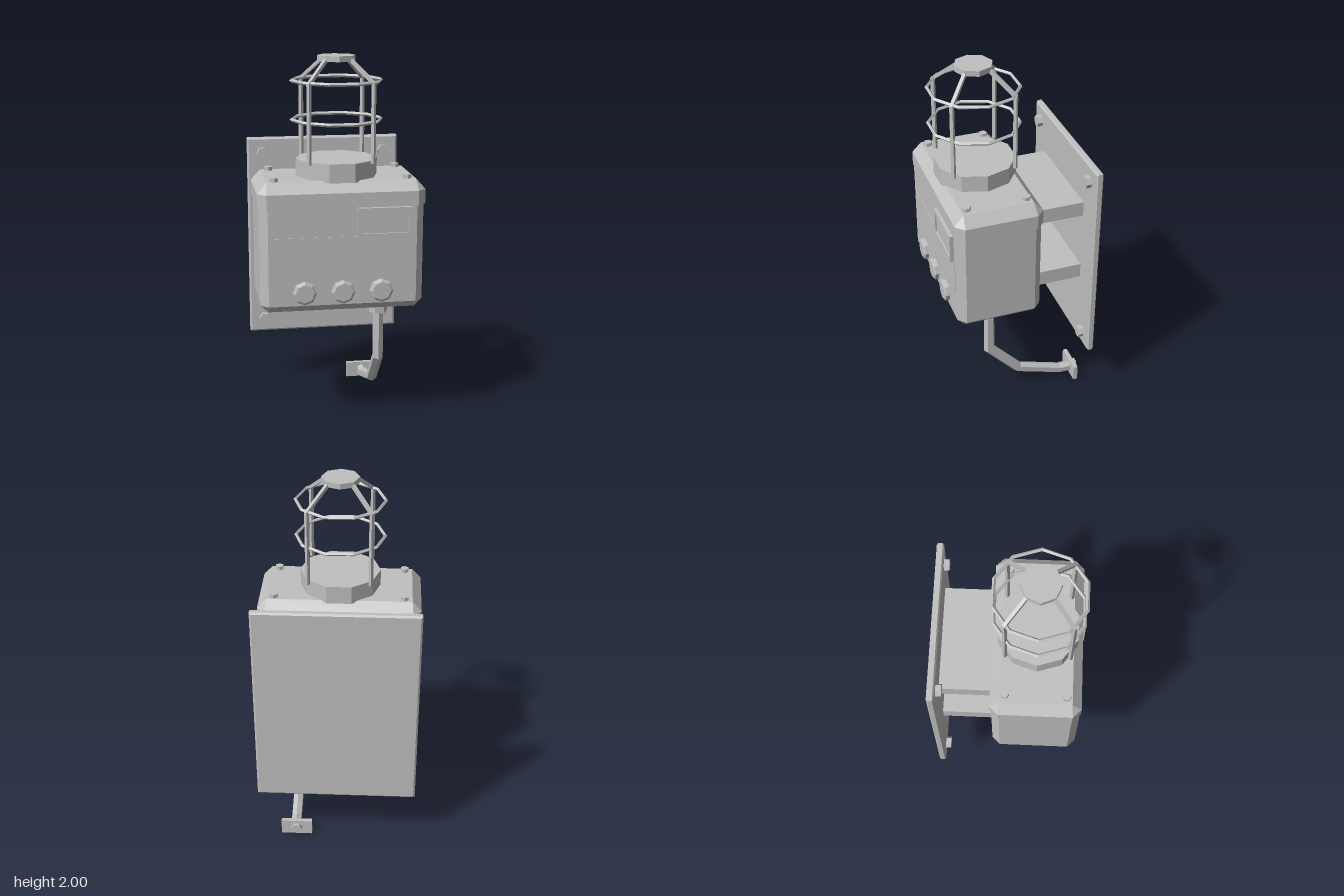
import * as THREE from 'three';

const grey = new THREE.MeshStandardMaterial({ color: 0xc0c0c0 });
grey.name = 'plain grey';

const V = (x, y, z) => new THREE.Vector3(x, y, z);

// Faceted normals for every part
function flat(geo) {
  const g = geo.index ? geo.toNonIndexed() : geo;
  g.computeVertexNormals();
  return g;
}

// Closed skin over a series of equal rings
function skin(rings) {
  const pos = [];
  const tri = (...pts) => pts.forEach(p => pos.push(p.x, p.y, p.z));
  const n = rings[0].length, last = rings[rings.length - 1];
  for (let k = 0; k < rings.length - 1; k++) {
    for (let i = 0; i < n; i++) {
      const j = (i + 1) % n, a = rings[k], b = rings[k + 1];
      tri(a[i], a[j], b[i]);
      tri(a[j], b[j], b[i]);
    }
  }
  for (let i = 1; i < n - 1; i++) {
    tri(rings[0][0], rings[0][i + 1], rings[0][i]);
    tri(last[0], last[i], last[i + 1]);
  }
  const g = new THREE.BufferGeometry();
  g.setAttribute('position', new THREE.Float32BufferAttribute(pos, 3));
  return flat(g);
}

// Stack of corner-cut rectangles: [y, half x, half z, corner cut]
function loft(levels) {
  return skin(levels.map(([y, x, z, c]) => [
    V(x - c, y, z), V(x, y, z - c), V(x, y, c - z), V(x - c, y, -z),
    V(c - x, y, -z), V(-x, y, c - z), V(-x, y, z - c), V(c - x, y, z),
  ]));
}

// Mitred bar along a path in the xy plane
function sweep(path, r, sides, turn = 0) {
  const pts = path.map(p => new THREE.Vector2(...p));
  return skin(pts.map((p, i) => {
    const d0 = pts[Math.max(i, 1)].clone().sub(pts[Math.max(i, 1) - 1]).normalize();
    const e = Math.min(i + 1, pts.length - 1);
    const d1 = pts[e].clone().sub(pts[e - 1]).normalize();
    const t = d0.clone().add(d1).normalize();
    const s = r / t.dot(d0);
    return Array.from({ length: sides }, (_, k) => {
      const a = turn + k / sides * Math.PI * 2, c = Math.cos(a) * s;
      return V(p.x - t.y * c, p.y + t.x * c, Math.sin(a) * r);
    });
  }));
}

// Prism with corners on the x axis, upright or facing the front
function prism(r, h, sides, facing = false, rTop = r) {
  const g = new THREE.CylinderGeometry(rTop, r, h, sides).rotateY(Math.PI / 2);
  if (facing) g.rotateX(Math.PI / 2);
  return flat(g);
}

export function createModel() {
  const model = new THREE.Group();
  model.name = 'beacon control box';
  const add = (name, geo, x = 0, y = 0, z = 0, parent = model) => {
    const m = new THREE.Mesh(geo, grey);
    m.name = name;
    m.position.set(x, y, z);
    parent.add(m);
    return m;
  };
  const box = (w, h, d) => new THREE.BoxGeometry(w, h, d);

  // Wall plate with bevelled edges, bolts and two spacer bars
  add('wallPlate', loft([
    [-0.41, 0.43, 0.576, 0.001], [-0.402, 0.44, 0.586, 0.004],
    [-0.378, 0.44, 0.586, 0.004], [-0.37, 0.43, 0.576, 0.001],
  ]).rotateX(Math.PI / 2), 0, 0.904, 0);
  for (const x of [-0.353, 0.353]) for (const y of [0.402, 1.404])
    add('plateBolt', prism(0.034, 0.04, 6, true), x, y, -0.36);
  for (const y of [0.785, 1.193])
    add('spacerBar', box(0.58, 0.084, 0.31), 0, y, -0.225);

  // Housing and lid
  add('housing', loft([
    [0.67, 0.395, 0.193, 0.001], [0.71, 0.436, 0.234, 0.042], [1.26, 0.436, 0.234, 0.042],
  ]), 0, 0, 0.147);
  add('lid', loft([
    [1.235, 0.445, 0.24, 0.045], [1.312, 0.445, 0.24, 0.045], [1.368, 0.395, 0.19, 0.001],
  ]), 0, 0, 0.145);
  for (const x of [-0.352, 0.352]) for (const z of [-0.017, 0.305])
    add('lidBolt', prism(0.024, 0.03, 6).rotateY(Math.PI / 2), x, 1.373, z);

  // Front label, display and knobs
  add('labelPanel', box(0.76, 0.19, 0.008), 0, 0.985, 0.38);
  const rect = (S, w, h) => {
    const s = new S();
    s.moveTo(-w, -h); s.lineTo(w, -h); s.lineTo(w, h); s.lineTo(-w, h); s.closePath();
    return s;
  };
  const frame = rect(THREE.Shape, 0.145, 0.079);
  frame.holes.push(rect(THREE.Path, 0.125, 0.058));
  add('displayFrame', flat(new THREE.ExtrudeGeometry(frame, { depth: 0.025, bevelEnabled: false })),
    0.22, 1.153, 0.377);
  add('displayScreen', box(0.25, 0.116, 0.016), 0.22, 1.153, 0.385);
  for (const x of [-0.205, 0, 0.205]) {
    add('knob', prism(0.063, 0.024, 8, true), x, 0.782, 0.389);
    add('knobFace', prism(0.063, 0.007, 8, true, 0.05), x, 0.782, 0.4045);
  }

  // Beacon base and its wire guard
  add('beaconBase', prism(0.22, 0.1, 10), 0, 1.409, 0.145);
  const guard = new THREE.Group();
  guard.name = 'guard';
  guard.position.z = 0.145;
  model.add(guard);
  for (let i = 0; i < 4; i++) {
    const rod = add('guardRod', sweep([[0.238, 1.45], [0.238, 1.866], [0.085, 1.985]],
      0.013, 4, Math.PI / 4), 0, 0, 0, guard);
    rod.rotation.y = Math.PI / 4 + i * Math.PI / 2;
  }
  for (const y of [1.664, 1.869])
    add('guardRing', flat(new THREE.TorusGeometry(0.24, 0.01, 4, 10).rotateX(Math.PI / 2)), 0, y, 0, guard);
  add('guardCap', prism(0.102, 0.03, 8), 0, 1.985, 0, guard);

  // Cable outlet, bent conduit and its foot
  add('outletNut', prism(0.052, 0.095, 6), 0.235, 0.632, 0.15);
  add('conduit', sweep([[-0.15, 0.62], [-0.15, 0.32], [0.025, 0.13], [0.285, 0.046], [0.36, 0.046]],
    0.031, 6).rotateY(Math.PI / 2), 0.235, 0, 0);
  add('footPlate', box(0.175, 0.09, 0.024), 0.229, 0.045, -0.362);
  add('footBolt', prism(0.032, 0.03, 6, true), 0.229, 0.045, -0.378);

  return model;
}
